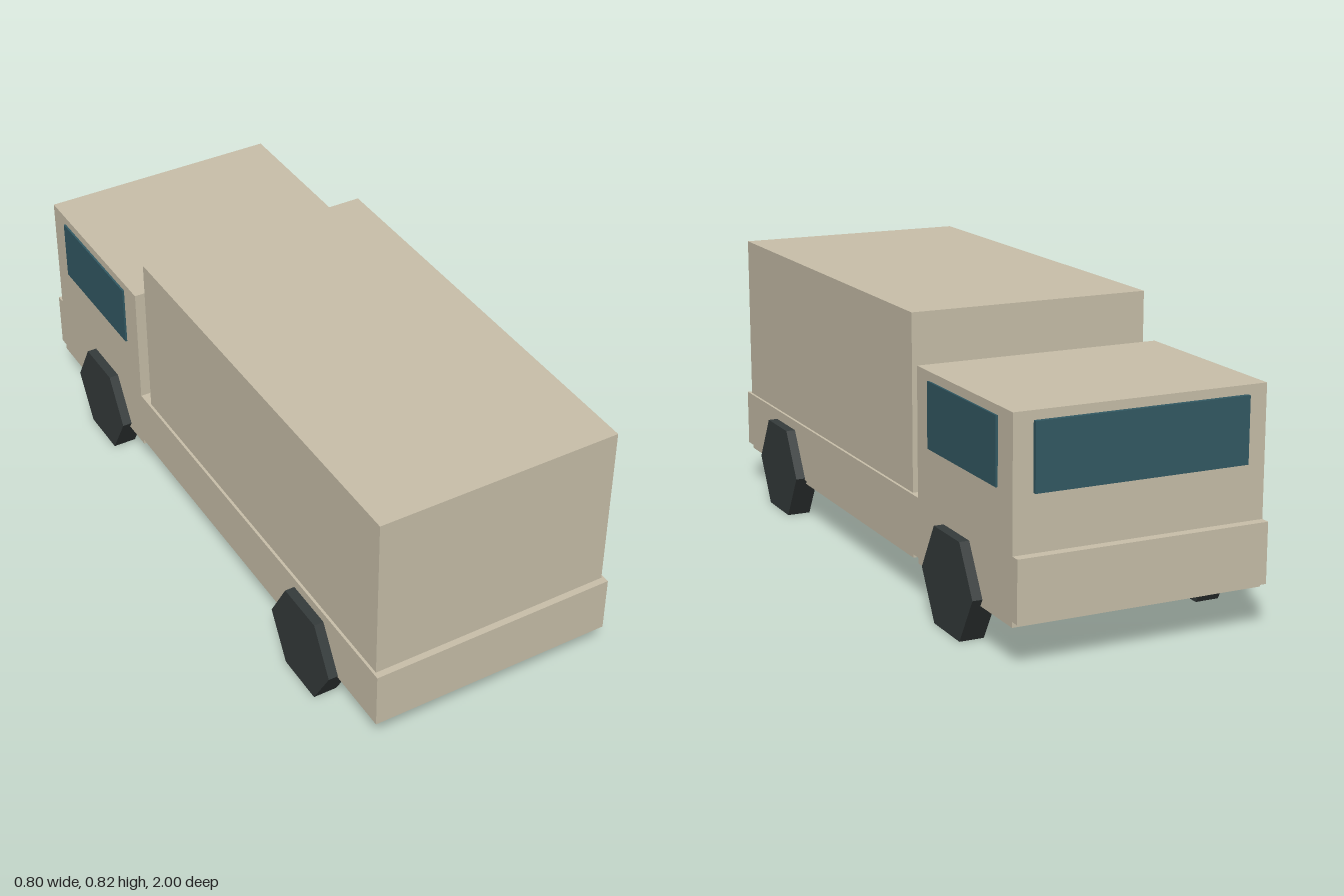
import * as THREE from 'three';

export function createModel() {
  const truck = new THREE.Group();
  truck.name = 'boxTruck';

  const material = (name, color) => {
    const m = new THREE.MeshStandardMaterial({ color, flatShading: true });
    m.name = name;
    return m;
  };
  const beige = material('beige paint', 0xc9c0aa);
  const glass = material('dark teal glass', 0x335a64);
  const rubber = material('dark rubber', 0x353b3b);

  const add = (name, geometry, mat, x, y, z) => {
    const mesh = new THREE.Mesh(geometry, mat);
    mesh.name = name;
    mesh.position.set(x, y, z);
    truck.add(mesh);
    return mesh;
  };

  // Box given by its half width and its y and z limits
  const block = (name, mat, halfX, y0, y1, z0, z1, x = 0) =>
    add(name, new THREE.BoxGeometry(halfX * 2, y1 - y0, z1 - z0), mat, x, (y0 + y1) / 2, (z0 + z1) / 2);

  // Body: the cab sits at the -z end
  block('chassis', beige, 0.373, 0.133, 0.307, -1, 1);
  block('cargoBox', beige, 0.365, 0.117, 0.818, -0.34, 0.98);
  block('cab', beige, 0.373, 0.117, 0.681, -0.972, -0.392);

  // Windows, set slightly proud of the cab
  block('windshield', glass, 0.315, 0.467, 0.655, -0.985, -0.97);
  for (const side of [-1, 1]) {
    const label = side > 0 ? 'left' : 'right';
    block(label + 'SideWindow', glass, 0.004, 0.467, 0.655, -0.888, -0.47, side * 0.375);

    // Six-sided wheels resting on a flat
    for (const end of [-1, 1]) {
      const radius = 0.16;
      const wheel = new THREE.CylinderGeometry(radius, radius, 0.072, 6).rotateZ(Math.PI / 2);
      add(label + (end < 0 ? 'CabWheel' : 'CargoWheel'), wheel, rubber,
        side * 0.366, radius * Math.cos(Math.PI / 6), end * 0.64);
    }
  }
  return truck;
}
